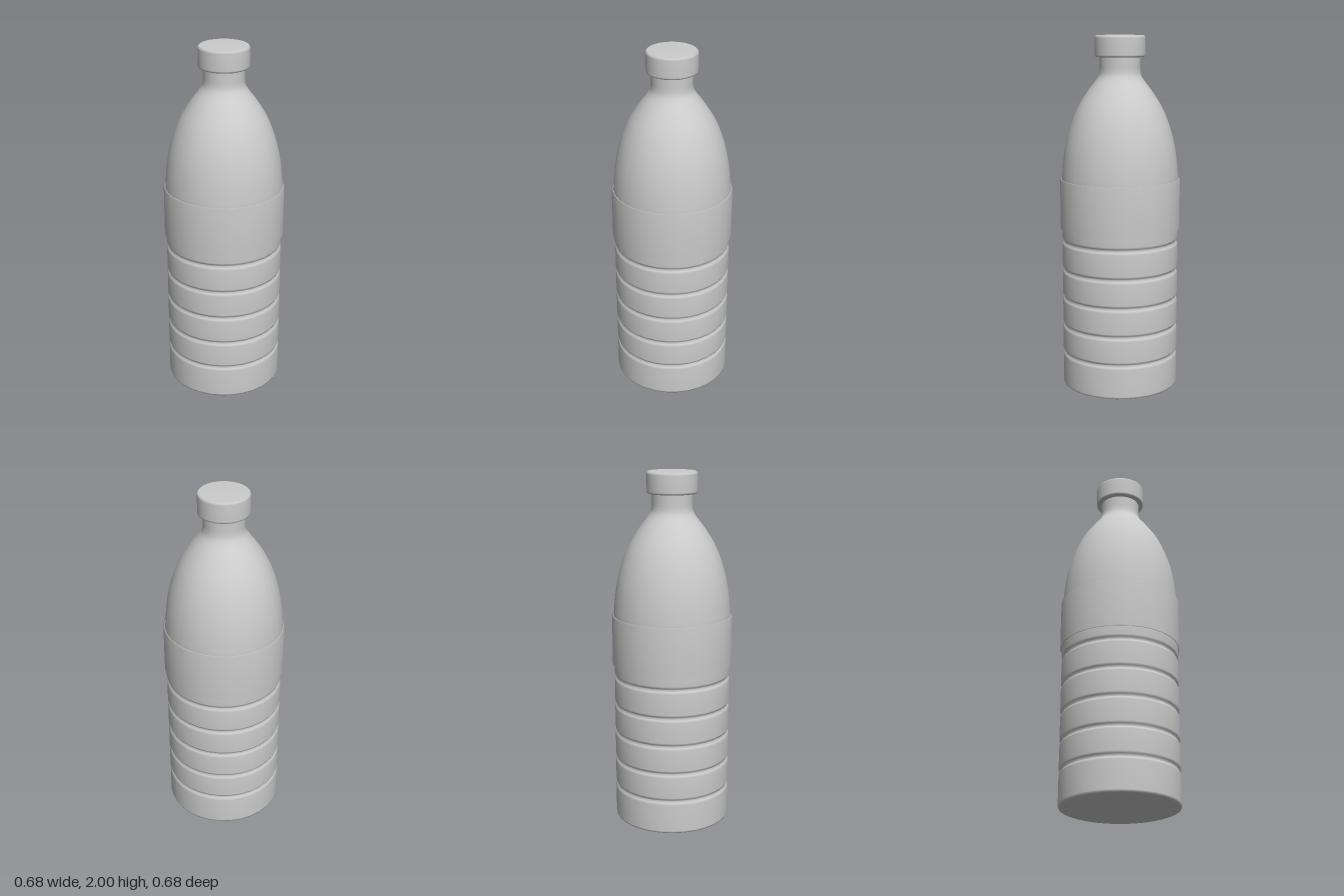
import * as THREE from 'three';

const SIDES = 32;
const material = new THREE.MeshStandardMaterial({ color: 0xcccccc, side: THREE.DoubleSide });

// Smooth turned part from [radius, height] pairs, listed bottom to top
function turned(name, profile) {
  const points = profile.map(([r, y]) => new THREE.Vector2(r, y));
  const mesh = new THREE.Mesh(new THREE.LatheGeometry(points, SIDES), material);
  mesh.name = name;
  return mesh;
}

export function createModel() {
  const group = new THREE.Group();
  group.name = 'bottle';

  // Base with a small rounded rim
  const body = [[0, 0], [0.315, 0], [0.326, 0.004], [0.33, 0.016]];

  // Ribbed lower wall: a narrow groove between bands
  for (const y of [0.195, 0.357, 0.52, 0.683, 0.847]) {
    body.push([0.33, y - 0.022], [0.325, y - 0.01], [0.316, y], [0.325, y + 0.01], [0.33, y + 0.022]);
  }
  body.push([0.33, 0.93], [0.33, 1.2]);

  // Domed shoulder running into the neck
  const shoulder = new THREE.SplineCurve([
    [0.33, 1.2], [0.322, 1.3], [0.306, 1.4], [0.279, 1.5], [0.238, 1.6],
    [0.182, 1.69], [0.135, 1.752], [0.117, 1.785], [0.113, 1.82],
  ].map(([r, y]) => new THREE.Vector2(r, y)));
  for (const p of shoulder.getPoints(24).slice(1)) body.push([p.x, p.y]);
  body.push([0.113, 1.89]);
  group.add(turned('body', body));

  // Label sleeve, slightly proud of the wall
  group.add(turned('label', [[0.326, 0.918], [0.34, 0.918], [0.34, 1.2], [0.326, 1.2]]));

  // Screw cap with softened edges
  group.add(turned('cap', [
    [0.1, 1.88], [0.132, 1.88], [0.139, 1.884], [0.141, 1.892],
    [0.141, 1.984], [0.138, 1.994], [0.13, 2], [0, 2],
  ]));

  return group;
}
